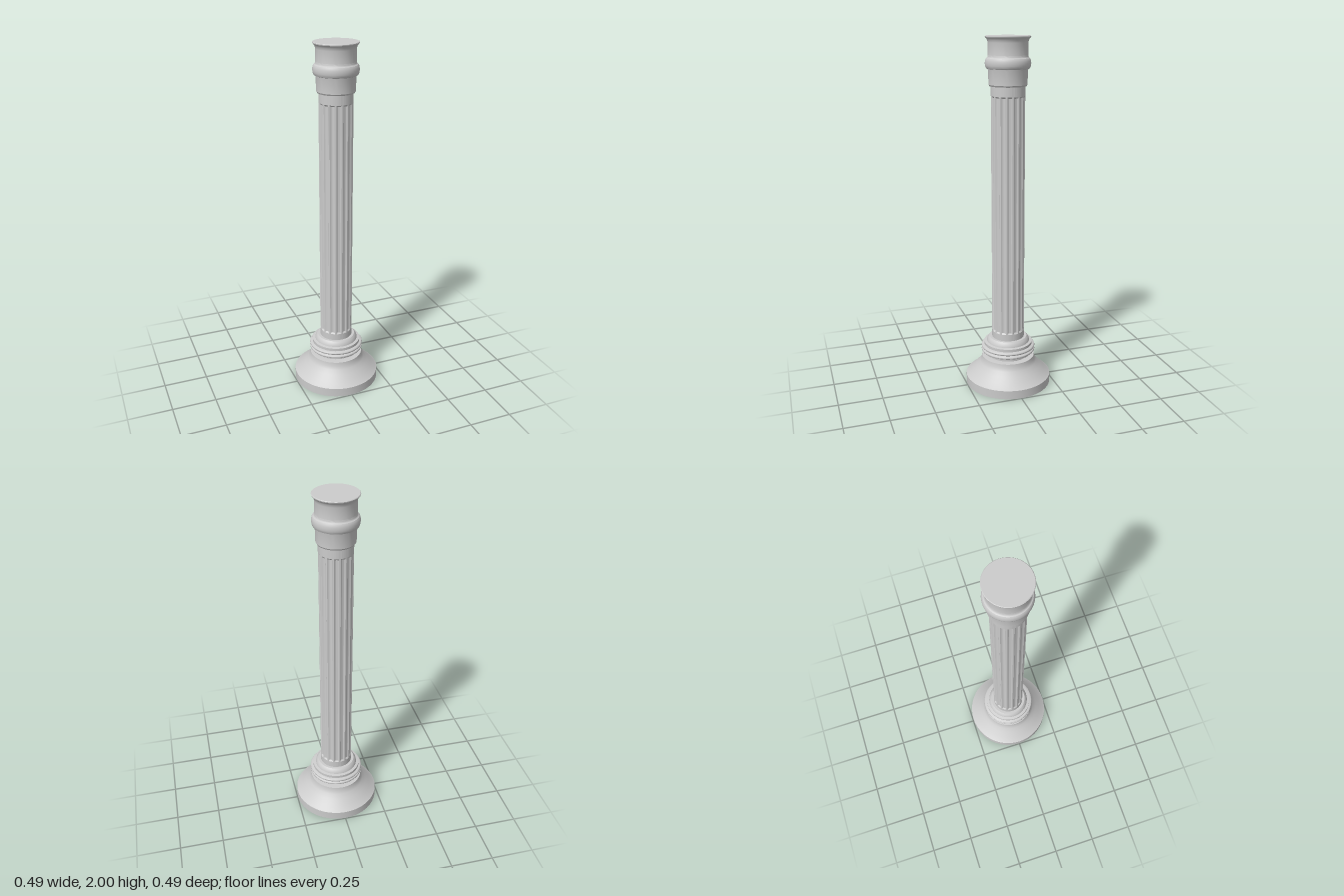
import * as THREE from 'three';
import { toCreasedNormals } from 'three/addons/utils/BufferGeometryUtils.js';

const material = new THREE.MeshStandardMaterial({ color: 0xcccccc });

// Turned part from [radius, height] pairs, bottom to top
function turned(name, profile, segments = 48) {
  const points = profile.map(([r, y]) => new THREE.Vector2(r, y));
  const mesh = new THREE.Mesh(toCreasedNormals(new THREE.LatheGeometry(points, segments), 0.55), material);
  mesh.name = name;
  return mesh;
}

// Half-round moulding bulging outwards between two heights
function bead(radius, bulge, y0, y1, steps = 8) {
  return Array.from({ length: steps + 1 }, (_, i) => {
    const a = (i / steps - 0.5) * Math.PI;
    return [radius + bulge * Math.cos(a), (y0 + y1) / 2 + Math.sin(a) * (y1 - y0) / 2];
  });
}

// Shaft with shallow rounded flutes that stop short of both ends
function flutedShaft() {
  const flutes = 16, perFlute = 10, depth = 0.008, width = 0.75;
  const heights = [0.28, 0.325, 0.333, 1.677, 1.685, 1.75];
  const points = heights.map(y => new THREE.Vector2(0.093, y));
  const geometry = new THREE.LatheGeometry(points, flutes * perFlute);
  const pos = geometry.attributes.position;
  for (let i = 0; i < pos.count; i++) {
    const y = pos.getY(i);
    if (y < 0.33 || y > 1.68) continue;
    const turn = Math.atan2(pos.getZ(i), pos.getX(i)) / (2 * Math.PI) + 1;
    const u = Math.abs(((turn * flutes) % 1) * 2 - 1) / width;
    if (u >= 1) continue;
    const scale = 1 - depth * Math.sqrt(1 - u * u) / 0.093;
    pos.setX(i, pos.getX(i) * scale);
    pos.setZ(i, pos.getZ(i) * scale);
  }
  const mesh = new THREE.Mesh(toCreasedNormals(geometry, 0.5), material);
  mesh.name = 'flutedShaft';
  return mesh;
}

export function createModel() {
  const group = new THREE.Group();
  group.name = 'column';

  // Broad foot with sloping shoulder
  group.add(turned('foot', [
    [0, 0], [0.247, 0], [0.247, 0.05], [0.238, 0.056], [0.212, 0.08], [0.186, 0.105],
    [0.166, 0.128], [0.156, 0.145], [0.153, 0.168], [0.12, 0.17], [0, 0.17],
  ]));

  // Stacked rings between foot and shaft
  group.add(turned('baseRings', [
    [0.118, 0.165], [0.118, 0.182], [0.137, 0.184], [0.137, 0.198],
    ...bead(0.148, 0.008, 0.198, 0.214), [0.143, 0.217],
    ...bead(0.148, 0.008, 0.22, 0.237), [0.14, 0.239], [0.14, 0.255],
    [0.124, 0.258], [0.122, 0.268], [0.114, 0.28], [0.108, 0.286], [0.09, 0.286],
  ]));

  group.add(flutedShaft());

  // Capital: necking, rounded collar and flared top
  group.add(turned('capital', [
    [0.09, 1.737], [0.1, 1.737], [0.105, 1.745], [0.105, 1.75], [0.107, 1.82], [0.109, 1.829],
    ...bead(0.113, 0.011, 1.829, 1.886),
    [0.109, 1.892], [0.108, 1.9], [0.108, 1.965], [0.111, 1.978], [0.117, 1.987],
    [0.122, 1.992], [0.123, 1.997], [0.12, 2], [0, 2],
  ]));

  return group;
}
